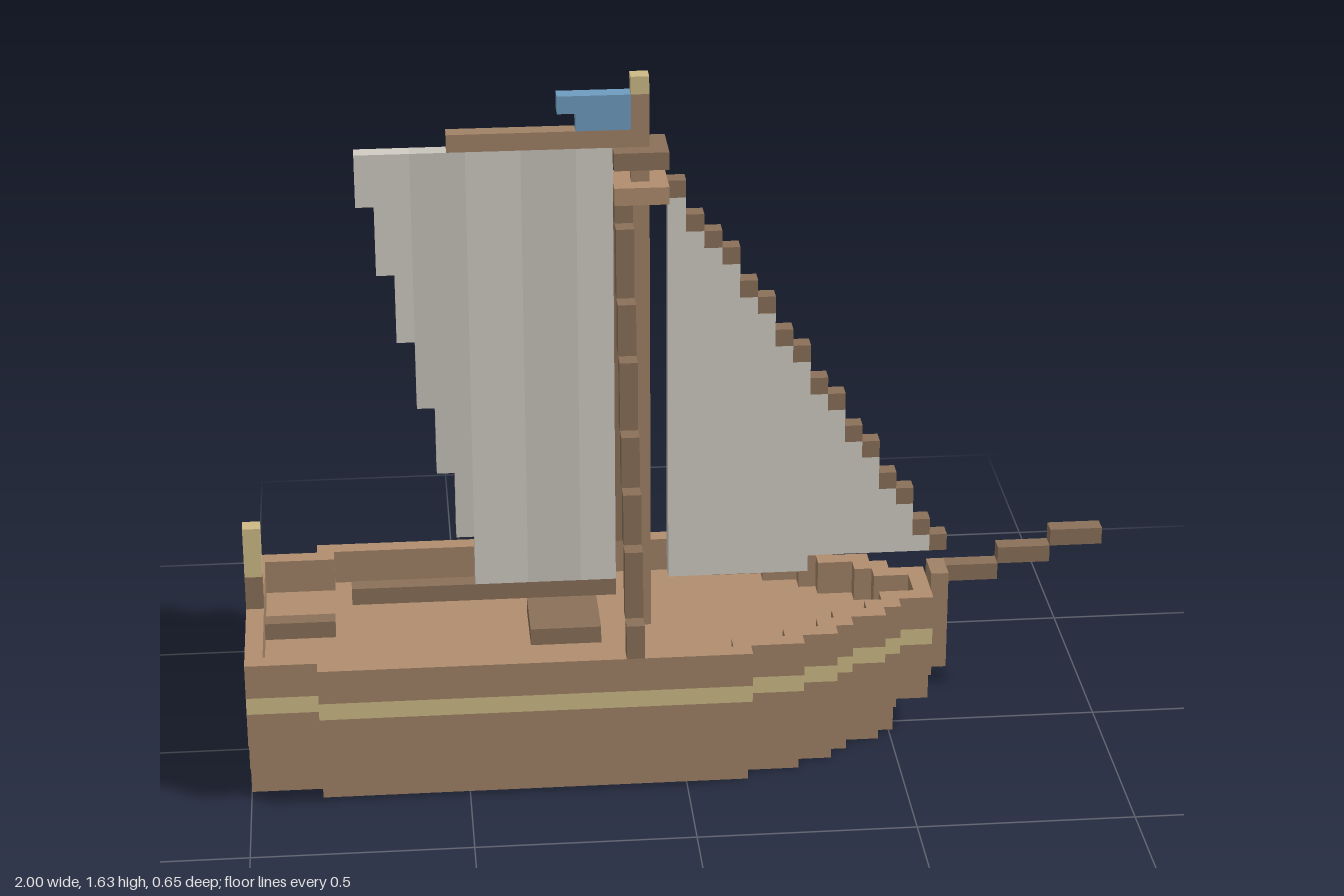
import * as THREE from 'three';

// One cell of the block grid: the boat is 49 cells long.
const U = 2 / 49;
const mat = (color) => new THREE.MeshStandardMaterial({ color, flatShading: true });
const hullWood = mat(0xa08266), deckWood = mat(0xb08d6e), darkWood = mat(0x8a7058);
const gold = mat(0xcdbb85), blue = mat(0x6f9cc0);
const cloth = [mat(0xd0ccc2), mat(0xc8c4bb)];

// Half width of the hull in cells: [end column, half width]
const plan = [[4, 7], [28, 8], [31, 7], [33, 6], [34, 5], [36, 4], [37, 3], [39, 2]];
const planWidth = (i) => (i < 0 ? 0 : (plan.find(([end]) => i < end) || [0, 0])[1]);

export function createModel() {
  const model = new THREE.Group();
  model.name = 'sailboat';

  const group = (name) => {
    const g = new THREE.Group();
    g.name = name;
    model.add(g);
    return g;
  };

  // Box spanning grid cells x0..x1, y0..y1, z0..z1
  const box = (name, material, x0, x1, y0, y1, z0 = -1, z1 = 0, parent = model) => {
    const mesh = new THREE.Mesh(new THREE.BoxGeometry((x1 - x0) * U, (y1 - y0) * U, (z1 - z0) * U), material);
    mesh.position.set(((x0 + x1) / 2) * U - 1, ((y0 + y1) / 2) * U, ((z0 + z1) / 2) * U);
    mesh.name = name;
    parent.add(mesh);
  };

  // Stepped counter-clockwise outline, symmetric about the keel line
  const outline = (widthAt) => {
    const side = [];
    let last = 0;
    for (let i = 0; i <= 40; i++) {
      const w = Math.max(0, widthAt(i));
      if (w === last) continue;
      if (last > 0) side.push([i, last]);
      if (w > 0) side.push([i, w]);
      last = w;
    }
    const starboard = side.map(([x, w]) => [x, -w]);
    return [...starboard, ...side.reverse()].map(([x, w]) => new THREE.Vector2(x * U - 1, w * U));
  };

  // Horizontal hull layer, optionally hollowed to a one-cell wall
  const hull = group('hull');
  const hullLayer = (name, y0, y1, inset, hollow, sideMaterial, capMaterial) => {
    const width = (i) => planWidth(i) - inset;
    const shape = new THREE.Shape(outline(width));
    if (hollow) {
      const inner = (i) => Math.min(width(i - 1), width(i), width(i + 1)) - 1;
      shape.holes.push(new THREE.Path(outline(inner)));
    }
    const geo = new THREE.ExtrudeGeometry(shape, { depth: (y1 - y0) * U, bevelEnabled: false });
    geo.rotateX(-Math.PI / 2);
    geo.translate(0, y0 * U, 0);
    const mesh = new THREE.Mesh(geo, [capMaterial, sideMaterial]);
    mesh.name = name;
    hull.add(mesh);
  };

  // Hull
  hullLayer('bottomStrake', 0, 2, 2, true, hullWood, hullWood);
  hullLayer('lowerStrake', 2, 4, 1, false, hullWood, darkWood);
  hullLayer('middleStrake', 4, 6, 0, false, hullWood, darkWood);
  hullLayer('stripeAndDeck', 6, 7, 0, false, gold, deckWood);
  hullLayer('bulwark', 7, 9, 0, true, hullWood, deckWood);
  box('stem', hullWood, 39, 40, 4, 10, -1, 1, hull);

  // Bowsprit rising in three steps
  const bowsprit = group('bowsprit');
  for (let k = 0; k < 3; k++) box('bowspritStep', darkWood, 40 + 3 * k, 43 + 3 * k, 9 + k, 10 + k, -1, 0, bowsprit);

  // Deck fittings
  box('hatch', darkWood, 16, 20, 7, 8, -2, 2);
  box('tiller', darkWood, 1, 5, 7, 8);
  box('sternPost', darkWood, 0, 1, 9, 11);
  box('sternLantern', gold, 0, 1, 11, 14);

  // Mast and spars
  box('mast', hullWood, 22, 23, 7, 39);
  box('mastCap', gold, 22, 23, 39, 40);
  box('boom', darkWood, 6, 21, 9, 10);
  box('gaff', hullWood, 12, 22, 36, 37);
  box('upperCrosstree', darkWood, 21, 24, 35, 36, -2, 1);
  box('lowerCrosstree', deckWood, 21, 24, 33, 34, -2, 1);

  // Flag
  const flag = group('flag');
  box('flagTop', blue, 18, 22, 38, 39, -1, 0, flag);
  box('flagBottom', blue, 19, 22, 37, 38, -1, 0, flag);

  // Mainsail: three-cell cloth panels, trailing edge stepped every four rows
  const mainsail = group('mainsail');
  for (let x = 7; x < 21; ) {
    const next = x < 13 ? x + 1 : Math.min(x + 3, 21);
    const bottom = x < 13 ? 33 - 4 * (x - 7) : 10;
    box('mainsailPanel', cloth[Math.floor((x - 7) / 3) % 2], x, next, bottom, 36, -1, 0, mainsail);
    x = next;
  }

  // Jib with the forestay blocks along its leading edge
  const jib = group('jib'), forestay = group('forestay');
  for (let i = 0; i < 16; i++) {
    const x = 24 + i, y = Math.floor(33 - (22 * i) / 15 + 0.4);
    box('forestayBlock', darkWood, x, x + 1, y, y + 1, -1, 0, forestay);
    const bottom = x < 32 ? 10 : 11;
    if (y > bottom) box('jibPanel', cloth[0], x, x + 1, bottom, y, -1, 0, jib);
  }

  // Shrouds: each list gives the row where the next outward step begins
  const shroud = (name, rows, zAt) => {
    const g = group(name);
    for (let k = 0; k + 1 < rows.length; k++) {
      box('shroudSegment', darkWood, 21, 22, rows[k + 1], rows[k], zAt(k), zAt(k) + 1, g);
    }
  };
  shroud('frontShroud', [33, 32, 28, 25, 21, 18, 15, 11, 9], (k) => k);
  shroud('backShroud', [33, 32, 27, 24, 19, 16, 11, 9], (k) => -2 - k);

  return model;
}
